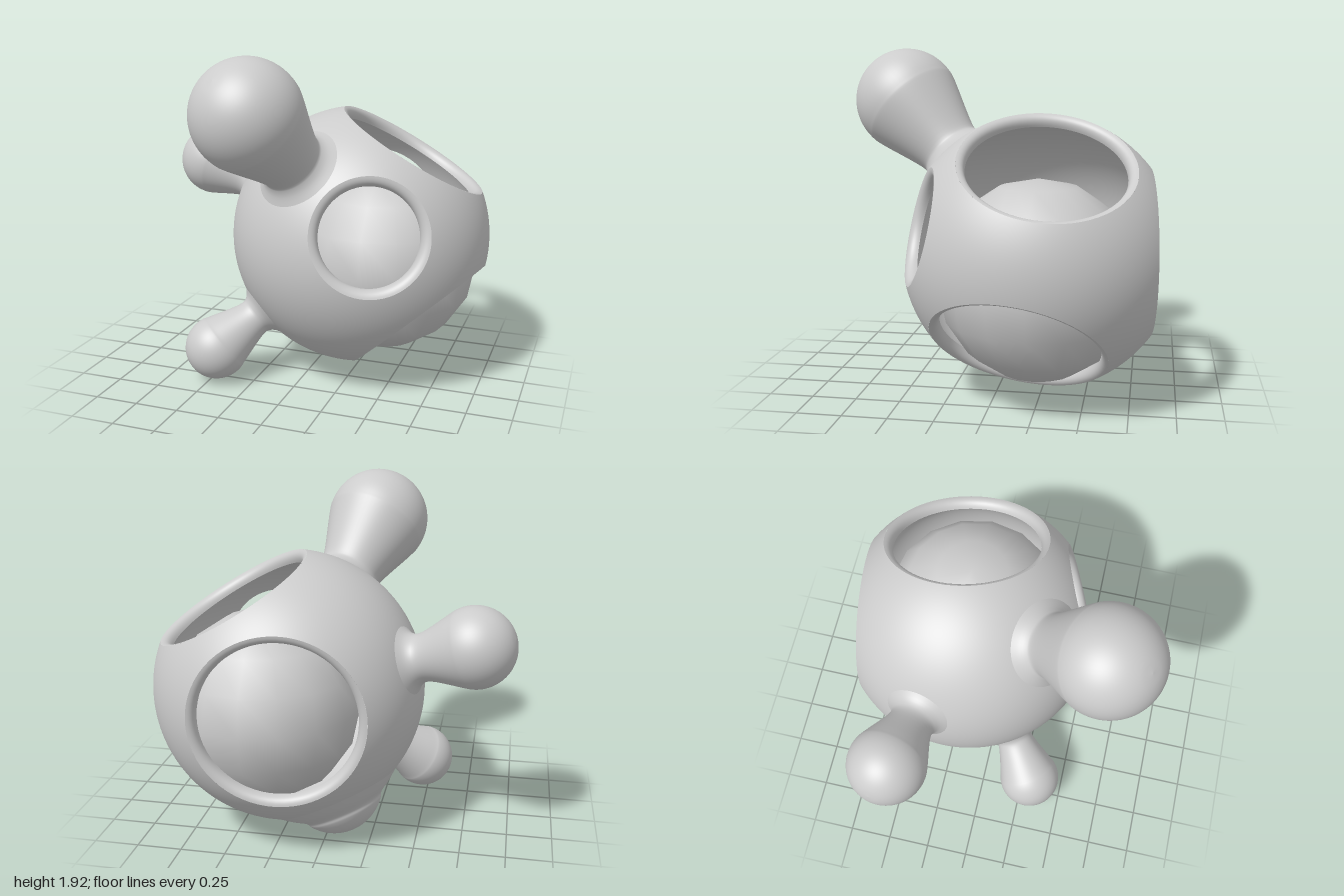
import * as THREE from 'three';
import { mergeVertices } from 'three/addons/utils/BufferGeometryUtils.js';

const CENTRE = new THREE.Vector3(0.245, 0.82, -0.24);
const R_OUT = 0.755, R_IN = 0.68;
const UP = new THREE.Vector3(0, 1, 0);
const material = new THREE.MeshStandardMaterial({ color: 0xcccccc });
const dir = (x, y, z) => new THREE.Vector3(x, y, z).normalize();

// Openings: axis, outer rim radius, inner rim radius
const openings = [
  { name: 'frontOpeningRim', axis: dir(0.34, 0.23, 0.91), outer: 0.325, inner: 0.272 },
  { name: 'topOpeningRim', axis: dir(0.49, 0.86, -0.12), outer: 0.468, inner: 0.42 },
  { name: 'lowerOpeningRim', axis: dir(0.66, -0.74, 0.11), outer: 0.475, inner: 0.432 },
  { name: 'backOpeningRim', axis: dir(-0.12, 0, -0.99), outer: 0.462, inner: 0.415 },
];

// Sphere with round holes: vertices inside a hole slide out to its edge
function piercedSphere(radius, holeRadius, inward) {
  const src = new THREE.IcosahedronGeometry(1, 26).attributes.position;
  const pos = [], nor = [];
  const holes = openings.map(o => ({ axis: o.axis, angle: Math.asin(holeRadius(o) / radius) }));
  for (let i = 0; i < src.count; i += 3) {
    const tri = [0, 1, 2].map(k => new THREE.Vector3().fromBufferAttribute(src, i + k).normalize());
    if (holes.some(h => tri.every(v => v.angleTo(h.axis) < h.angle))) continue;
    for (const v of tri) {
      for (const h of holes) {
        if (v.angleTo(h.axis) >= h.angle) continue;
        const side = v.clone().addScaledVector(h.axis, -v.dot(h.axis)).normalize();
        v.copy(h.axis).multiplyScalar(Math.cos(h.angle)).addScaledVector(side, Math.sin(h.angle));
      }
    }
    if (inward) tri.reverse();
    for (const v of tri) {
      pos.push(v.x * radius, v.y * radius, v.z * radius);
      const s = inward ? -1 : 1;
      nor.push(v.x * s, v.y * s, v.z * s);
    }
  }
  const g = new THREE.BufferGeometry();
  g.setAttribute('position', new THREE.Float32BufferAttribute(pos, 3));
  g.setAttribute('normal', new THREE.Float32BufferAttribute(nor, 3));
  return mergeVertices(g);
}

// Turned part whose axis runs out from the shell centre
function turned(name, profile, axis) {
  const mesh = new THREE.Mesh(new THREE.LatheGeometry(profile, 64), material);
  mesh.name = name;
  mesh.quaternion.setFromUnitVectors(UP, axis);
  return mesh;
}

// Rounded lip joining the outer and inner skins
function rim({ name, axis, outer, inner }) {
  const top = Math.sqrt(R_OUT ** 2 - outer ** 2);
  const low = Math.sqrt(R_IN ** 2 - inner ** 2);
  const curve = new THREE.QuadraticBezierCurve(
    new THREE.Vector2(outer, top),
    new THREE.Vector2(inner, top - 0.004),
    new THREE.Vector2(inner, low));
  return turned(name, curve.getPoints(10), axis);
}

// Knob: flared foot on the shell, neck, then a ball end
function knob(name, ballAt, ball, foot, neck, startAngle) {
  const axis = new THREE.Vector3(...ballAt).sub(CENTRE);
  const length = axis.length();
  const pts = [new THREE.Vector2(foot, Math.sqrt(R_OUT ** 2 - foot ** 2) - 0.008)];
  neck.forEach(([r, h]) => pts.push(new THREE.Vector2(r, h)));
  for (let i = 0; i <= 8; i++) {
    const a = THREE.MathUtils.lerp(startAngle, Math.PI / 2, i / 8);
    pts.push(new THREE.Vector2(Math.max(0, ball * Math.cos(a)), length + ball * Math.sin(a)));
  }
  const profile = new THREE.SplineCurve(pts).getPoints(60);
  profile.forEach(p => { p.x = Math.max(0, p.x); });
  return turned(name, profile, axis.normalize());
}

export function createModel() {
  const model = new THREE.Group();
  model.name = 'piercedSphereWithKnobs';

  // Hollow shell
  const shell = new THREE.Group();
  shell.name = 'shell';
  shell.position.copy(CENTRE);
  const outerSkin = new THREE.Mesh(piercedSphere(R_OUT, o => o.outer, false), material);
  outerSkin.name = 'outerSkin';
  const innerSkin = new THREE.Mesh(piercedSphere(R_IN, o => o.inner, true), material);
  innerSkin.name = 'innerSkin';
  shell.add(outerSkin, innerSkin, ...openings.map(rim));

  // Knobs growing out of the shell
  shell.add(
    knob('upperKnob', [-0.12, 1.62, 0.59], 0.3, 0.26, [[0.195, 0.765], [0.192, 0.84]], -0.35),
    knob('sideKnob', [-0.785, 1.16, -0.44], 0.217, 0.2, [[0.142, 0.77], [0.133, 0.84]], -0.45),
    knob('lowerKnob', [-0.462, 0.2, 0.295], 0.183, 0.18, [[0.122, 0.77], [0.113, 0.83]], -0.45),
    knob('bottomBump', [-0.03, 0.27, -0.35], 0.27, 0.4, [[0.31, 0.705]], 0.5),
  );
  model.add(shell);

  // Loose ball inside
  const core = new THREE.Mesh(new THREE.SphereGeometry(0.545, 16, 8), material);
  core.name = 'innerBall';
  core.position.set(0.39, 0.695, -0.25);
  model.add(core);

  return model;
}
